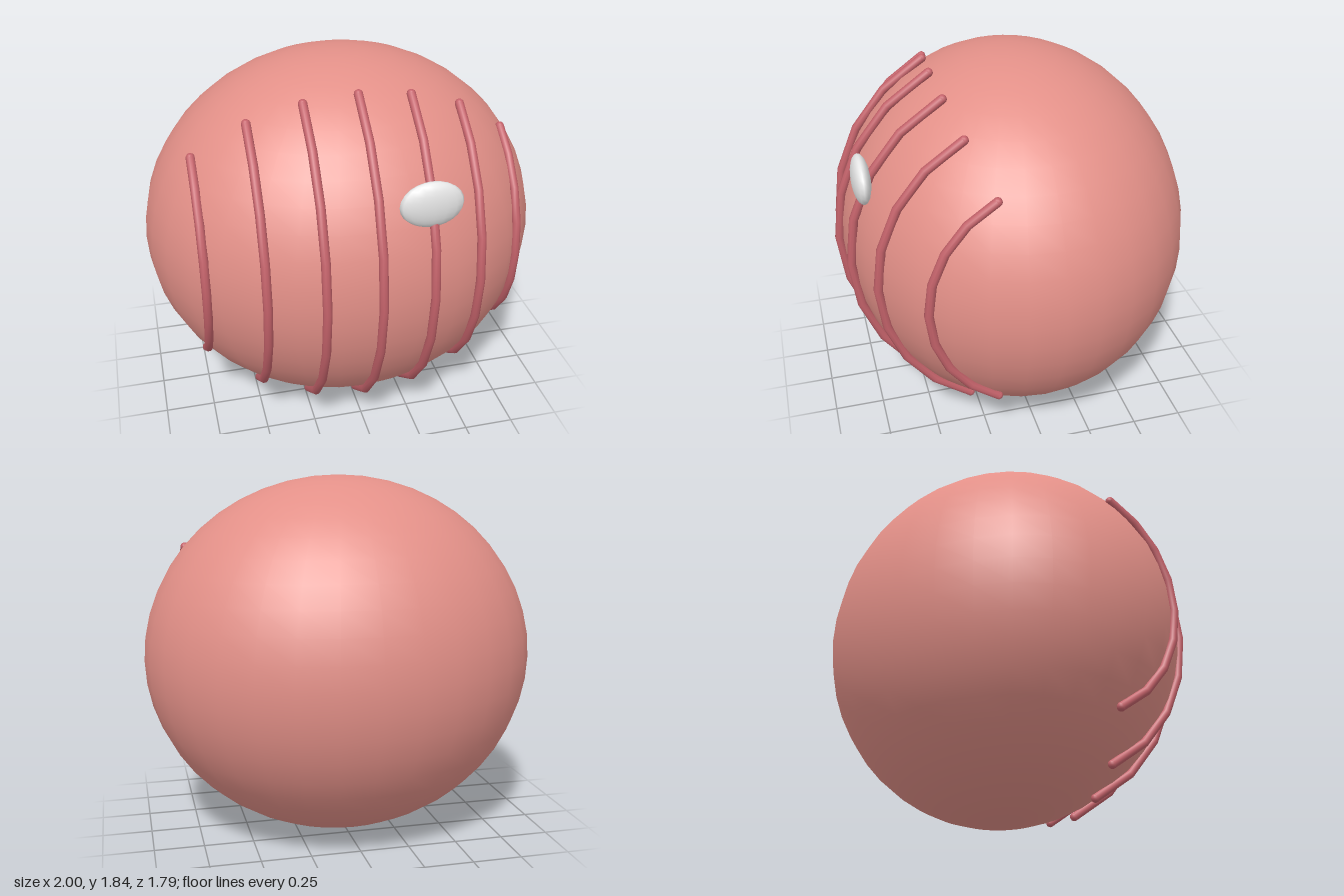
import * as THREE from 'three';

const skin = new THREE.MeshStandardMaterial({ color: 0xe39088 });
skin.name = 'salmon pink';
const ribColor = new THREE.MeshStandardMaterial({ color: 0xc4626a });
ribColor.name = 'deep rose';
const pale = new THREE.MeshStandardMaterial({ color: 0xe6e6e6 });
pale.name = 'pale grey';

const CENTER_Y = 0.92;
const CENTER_Z = -0.02;
const TUBE = 0.022;

// Stretched sphere with its radii baked into the geometry
function ellipsoid(name, material, radii, center, cols, rows) {
  const geo = new THREE.SphereGeometry(1, cols, rows).scale(...radii);
  const mesh = new THREE.Mesh(geo, material);
  mesh.name = name;
  mesh.position.set(...center);
  return mesh;
}

// Curved rib that hugs the front of the body at a given x
function rib(x) {
  const group = new THREE.Group();
  group.name = 'rib';
  const shrink = Math.sqrt(1 - x * x);
  const points = [];
  for (let i = 0; i <= 8; i++) {
    const a = THREE.MathUtils.degToRad(-63.6 + (127.2 * i) / 8);
    points.push(new THREE.Vector3(
      x,
      CENTER_Y + 0.94 * shrink * Math.sin(a),
      CENTER_Z + 0.893 * shrink * Math.cos(a)
    ));
  }
  const curve = new THREE.CatmullRomCurve3(points);
  const tube = new THREE.Mesh(new THREE.TubeGeometry(curve, 8, TUBE, 10), ribColor);
  tube.name = 'ribTube';
  group.add(tube);
  // Rounded ends
  for (const p of [points[0], points[8]]) {
    group.add(ellipsoid('ribEnd', ribColor, [TUBE, TUBE, TUBE], p.toArray(), 10, 8));
  }
  return group;
}

export function createModel() {
  const model = new THREE.Group();
  model.name = 'ribbedBall';

  model.add(ellipsoid('body', skin, [1, 0.918, 0.875], [0, CENTER_Y, CENTER_Z], 32, 24));

  // Seven ribs, evenly spaced across the front
  for (let i = -3; i <= 3; i++) model.add(rib(i * 0.254));

  // Flattened oval highlight on the upper front
  model.add(ellipsoid('highlight', pale, [0.15, 0.112, 0.046], [0.24, 1.37, 0.76], 16, 12));

  return model;
}
